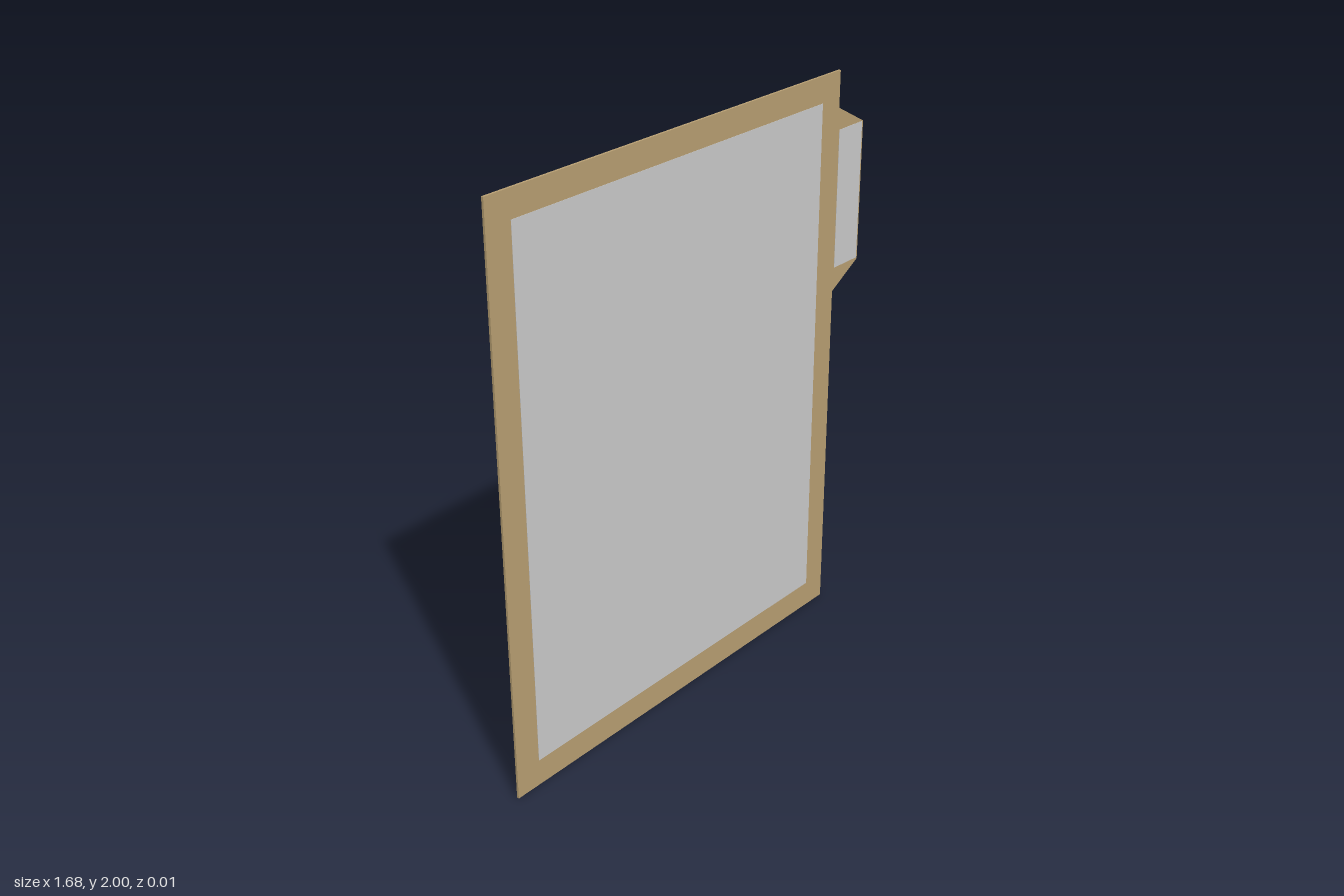
import * as THREE from 'three';

const DEPTH = 0.008;

export function createModel() {
  const group = new THREE.Group();
  const card = new THREE.MeshStandardMaterial({ color: 0xb9a073 });
  const paper = new THREE.MeshStandardMaterial({ color: 0xcccccc });

  // Card cover with a tapered index tab on its left edge
  const outline = new THREE.Shape([
    [-0.845, 0], [0.705, 0], [0.705, 1.23], [0.84, 1.31],
    [0.84, 1.8], [0.705, 1.875], [0.705, 2], [-0.845, 2],
  ].map(([x, y]) => new THREE.Vector2(x, y)));
  const coverGeometry = new THREE.ExtrudeGeometry(outline, { depth: DEPTH, bevelEnabled: false });
  coverGeometry.translate(0, 0, -DEPTH / 2);
  const cover = new THREE.Mesh(coverGeometry, card);
  cover.name = 'folderCover';
  group.add(cover);

  // Thin sheet laid on the front face
  function addSheet(name, x0, x1, y0, y1) {
    const sheet = new THREE.Mesh(new THREE.BoxGeometry(x1 - x0, y1 - y0, 0.002), paper);
    sheet.position.set((x0 + x1) / 2, (y0 + y1) / 2, DEPTH / 2);
    sheet.name = name;
    group.add(sheet);
  }
  addSheet('frontPanel', -0.752, 0.615, 0.095, 1.91);
  addSheet('tabLabel', 0.71, 0.834, 1.315, 1.8);

  return group;
}
